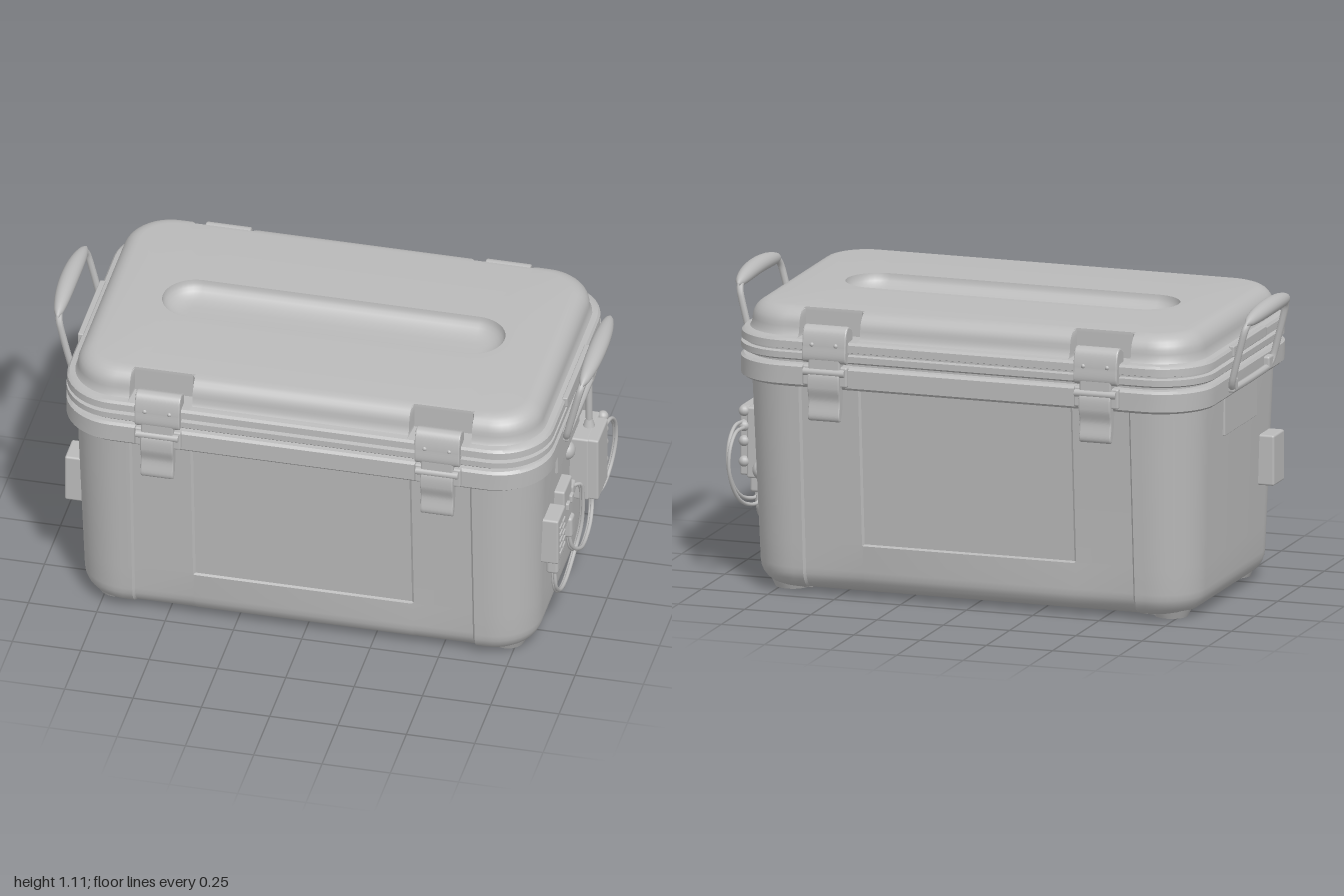
import * as THREE from 'three';
import { toCreasedNormals } from 'three/addons/utils/BufferGeometryUtils.js';
import { RoundedBoxGeometry } from 'three/addons/geometries/RoundedBoxGeometry.js';

const grey = new THREE.MeshStandardMaterial({ color: 0xbababa });
grey.name = 'warm grey plastic';

const V = (x, y, z) => new THREE.Vector3(x, y, z);

function add(parent, name, geometry, x = 0, y = 0, z = 0) {
  const mesh = new THREE.Mesh(geometry, grey);
  mesh.name = name;
  mesh.position.set(x, y, z);
  parent.add(mesh);
  return mesh;
}

function block(parent, name, w, h, d, x, y, z, r = 0.008) {
  return add(parent, name, new RoundedBoxGeometry(w, h, d, 2, Math.min(r, w / 2.1, h / 2.1, d / 2.1)), x, y, z);
}

function tube(parent, name, points, radius, closed = false, segments = 48) {
  const curve = new THREE.CatmullRomCurve3(points, closed);
  return add(parent, name, new THREE.TubeGeometry(curve, segments, radius, 8, closed));
}

// Panel steps on the long walls and latch pockets in the lid
function carve(x, y, z) {
  const a = Math.abs(x), s = Math.sign(z);
  if (y < 0.78) z -= s * (a < 0.4 ? (y > 0.2 ? 0.016 : 0.008) : a < 0.622 ? 0.01 : 0);
  if (y > 0.958 && a > 0.4 && a < 0.622) z = s * Math.min(Math.abs(z), 0.465);
  return V(x, y, z);
}

// Rounded rectangle with extra points on the long sides for the steps
const STEPS = [0.626, 0.618, 0.404, 0.396, -0.396, -0.404, -0.618, -0.626];
function ring([hx, hz, r, y]) {
  const pts = [], n = 10;
  [[1, 1], [-1, 1], [-1, -1], [1, -1]].forEach(([sx, sz], q) => {
    for (let i = 0; i <= n; i++) {
      const t = (q + i / n) * Math.PI / 2;
      pts.push(carve(sx * (hx - r) + r * Math.cos(t), y, sz * (hz - r) + r * Math.sin(t)));
    }
    if (q % 2 === 0) {
      for (const s of STEPS) {
        const x = THREE.MathUtils.clamp(s * sz, r - hx, hx - r);
        pts.push(carve(x, y, sz * hz));
      }
    }
  });
  return pts;
}

// Skin through rings, closing the last one onto its centre line
function loft(profile) {
  const rings = profile.map(ring);
  rings.push(rings[rings.length - 1].map(p => V(p.x, p.y, 0)));
  const m = rings[0].length, pos = [], index = [];
  rings.forEach(r => r.forEach(p => pos.push(p.x, p.y, p.z)));
  for (let j = 0; j < rings.length - 1; j++) {
    for (let i = 0; i < m; i++) {
      const k = (i + 1) % m, a = j * m + i, b = j * m + k;
      index.push(a, a + m, b, b, a + m, b + m);
    }
  }
  const g = new THREE.BufferGeometry();
  g.setAttribute('position', new THREE.Float32BufferAttribute(pos, 3));
  g.setIndex(index);
  return toCreasedNormals(g, 0.6);
}

// Profile in (z, y) extruded along x
function slab(points, width) {
  const shape = new THREE.Shape();
  shape.moveTo(...points[0]);
  shape.splineThru(points.slice(1).map(p => new THREE.Vector2(...p)));
  shape.closePath();
  const b = 0.005;
  const g = new THREE.ExtrudeGeometry(shape, { depth: width - 2 * b, bevelSize: b, bevelThickness: b, bevelSegments: 2, curveSegments: 20 });
  return g.rotateY(-Math.PI / 2).translate(width / 2 - b, 0, 0);
}

function buildShell(parent) {
  const profile = [];
  for (let i = 0; i <= 6; i++) {
    const t = i / 6 * Math.PI / 2, s = Math.sin(t);
    profile.push([0.755 + 0.08 * s, 0.39 + 0.085 * s, 0.1 + 0.07 * s, 0.1 - 0.085 * Math.cos(t)]);
  }
  for (const y of [0.197, 0.203, 0.4, 0.6, 0.775]) {
    const t = (y - 0.1) / 0.68;
    profile.push([0.835 + 0.02 * t, 0.475 + 0.05 * t, 0.17 + 0.02 * t, y]);
  }
  // Rim, seam and lid bands
  profile.push(
    [0.88, 0.547, 0.2, 0.781], [0.889, 0.556, 0.2, 0.79], [0.89, 0.557, 0.2, 0.855], [0.882, 0.549, 0.2, 0.864],
    [0.862, 0.529, 0.19, 0.866], [0.862, 0.529, 0.19, 0.876], [0.882, 0.549, 0.2, 0.878], [0.889, 0.556, 0.2, 0.884],
    [0.889, 0.556, 0.2, 0.906], [0.874, 0.541, 0.19, 0.91], [0.874, 0.541, 0.19, 0.916], [0.888, 0.555, 0.2, 0.92],
    [0.887, 0.554, 0.2, 0.946], [0.88, 0.547, 0.2, 0.955], [0.86, 0.526, 0.18, 0.959], [0.853, 0.519, 0.17, 0.97]);
  // Rounded lid edge
  for (let i = 0; i <= 7; i++) {
    const t = i / 7 * Math.PI / 2, c = 0.065 * Math.cos(t);
    profile.push([0.785 + c, 0.45 + c, 0.12 + c * 0.7, 0.99 + 0.067 * Math.sin(t)]);
  }
  // Scooped recess in the lid
  for (let i = 0; i <= 7; i++) {
    const t = i / 7 * Math.PI / 2, h = 0.035 + 0.085 * Math.cos(t);
    profile.push([0.505 + h, h, h, 1.057 - 0.06 * Math.sin(t)]);
  }
  add(parent, 'coolerShell', loft(profile));

  // Underside with four drain holes
  const base = new THREE.Shape(ring(profile[0]).map(p => new THREE.Vector2(p.x, p.z)));
  for (const sx of [-1, 1]) for (const sz of [-1, 1]) {
    base.holes.push(new THREE.Path().absarc(sx * 0.54, sz * 0.22, 0.05, 0, Math.PI * 2));
    const foot = add(parent, 'foot', new THREE.CylinderGeometry(0.075, 0.06, 0.03, 24), sx * 0.715, 0.015, sz * 0.335);
    foot.scale.z = 0.95;
  }
  add(parent, 'underside', new THREE.ShapeGeometry(base, 24).rotateX(Math.PI / 2), 0, 0.015, 0);
  for (const sx of [-1, 1]) block(parent, 'bottomRunner', 0.13, 0.008, 0.76, sx * 0.688, 0.012, 0, 0.003);
}

function buildLatch() {
  const latch = new THREE.Group();
  latch.name = 'latch';
  const upper = [[0.5, 0.885], [0.568, 0.885], [0.573, 0.94], [0.563, 0.99], [0.54, 1.006], [0.505, 0.99]];
  const lever = [[0.545, 0.845], [0.577, 0.84], [0.582, 0.79], [0.57, 0.74], [0.577, 0.685], [0.566, 0.672], [0.55, 0.7], [0.54, 0.77]];
  add(latch, 'latchPlate', slab(upper, 0.165));
  add(latch, 'latchLever', slab(lever, 0.12));
  block(latch, 'latchKeeper', 0.17, 0.075, 0.05, 0, 0.83, 0.545);
  block(latch, 'latchLink', 0.12, 0.07, 0.05, 0, 0.868, 0.553);
  const pin = new THREE.CylinderGeometry(0.014, 0.014, 0.155, 16).rotateZ(Math.PI / 2);
  add(latch, 'latchPin', pin, 0, 0.845, 0.572);
  for (const x of [-0.045, 0.045]) add(latch, 'rivet', new THREE.SphereGeometry(0.009, 10, 8), x, 0.945, 0.574);
  return latch;
}

// Everything common to both ends, built on +x
function buildEnd() {
  const end = new THREE.Group();
  const at = (y, z) => V(0.897 + (y - 0.81) * 0.25, y, z);
  const loop = [];
  [[1, 1], [-1, 1], [-1, -1], [1, -1]].forEach(([sz, sy], q) => {
    for (let i = 0; i <= 4; i++) {
      const t = (q + i / 4) * Math.PI / 2;
      loop.push(at(0.935 + sy * 0.08 + 0.045 * Math.sin(t), sz * 0.178 + 0.045 * Math.cos(t)));
    }
  });
  tube(end, 'handleFrame', loop, 0.013, true, 96);
  const profile = [];
  for (let i = 0; i <= 16; i++) {
    const u = i / 8 - 1;
    profile.push(new THREE.Vector2(0.008 + 0.025 * Math.sqrt(Math.max(0, 1 - u ** 4)), u * 0.225));
  }
  // Grip bowed up and outward at the middle
  const grip = new THREE.LatheGeometry(profile, 20).rotateX(Math.PI / 2);
  const p = grip.attributes.position;
  for (let i = 0; i < p.count; i++) {
    const bow = 1 - (p.getZ(i) / 0.225) ** 2;
    p.setXYZ(i, p.getX(i) * (0.6 + 0.4 * bow) + 0.008 * bow, p.getY(i) * (0.7 + 0.2 * bow) + 0.018 * bow, p.getZ(i));
  }
  grip.computeVertexNormals();
  add(end, 'handleGrip', grip, 0.959, 1.058, 0);
  for (const s of [-1, 1]) block(end, 'handleBracket', 0.04, 0.05, 0.05, 0.89, 0.825, s * 0.19);
  block(end, 'lidBadgeBar', 0.02, 0.038, 0.35, 0.886, 0.942, 0, 0.004);
  block(end, 'sidePanel', 0.02, 0.15, 0.345, 0.85, 0.705, 0.003, 0.003);
  block(end, 'controlBox', 0.07, 0.185, 0.115, 0.868, 0.453, 0.292);
  return end;
}

function buildElectrics(parent) {
  const g = new THREE.Group();
  g.name = 'electrics';
  parent.add(g);
  // Ridged control box face and plug
  for (let i = 0; i < 5; i++) for (const z of [0.27, 0.312]) block(g, 'ridge', 0.008, 0.012, 0.034, 0.904, 0.395 + i * 0.027, z, 0.003);
  block(g, 'plug', 0.045, 0.065, 0.05, 0.875, 0.335, 0.305, 0.012);
  // Socket plate
  block(g, 'socketPlate', 0.05, 0.165, 0.12, 0.86, 0.47, 0.115);
  for (const z of [0.14, 0.085]) block(g, 'socket', 0.016, 0.03, 0.03, 0.888, 0.475, z, 0.005);
  block(g, 'plug', 0.045, 0.085, 0.05, 0.875, 0.355, 0.085, 0.012);
  block(g, 'cableGland', 0.04, 0.05, 0.055, 0.87, 0.48, 0.035, 0.012);
  // Regulator box with terminals and mast
  block(g, 'regulatorBack', 0.08, 0.26, 0.19, 0.875, 0.49, -0.165);
  block(g, 'regulatorCover', 0.05, 0.255, 0.155, 0.925, 0.49, -0.153);
  for (const y of [0.605, 0.55, 0.495, 0.42]) add(g, 'terminal', new THREE.SphereGeometry(0.02, 14, 10), 0.925, y, -0.255);
  block(g, 'plug', 0.045, 0.065, 0.05, 0.89, 0.335, -0.21, 0.012);
  add(g, 'mast', new THREE.CylinderGeometry(0.012, 0.012, 0.18, 12), 0.895, 0.715, -0.165);
  add(g, 'mastBase', new THREE.CylinderGeometry(0.013, 0.022, 0.03, 12), 0.895, 0.633, -0.165);
  for (const [y, z, r] of [[0.592, -0.035, 0.034], [0.405, -0.302, 0.034], [0.49, -0.3, 0.022], [0.375, -0.055, 0.02]]) {
    const knob = add(g, 'knob', new THREE.SphereGeometry(r, 18, 12), 0.848, y, z);
    knob.scale.x = 0.8;
  }
  // Paired cables, listed as (x, y, z)
  const cables = [
    [[0.875, 0.31, 0.305], [0.88, 0.23, 0.3], [0.88, 0.175, 0.24], [0.88, 0.157, 0.15], [0.885, 0.2, 0.04], [0.9, 0.29, -0.01], [0.905, 0.4, -0.015], [0.9, 0.475, 0], [0.87, 0.485, 0.04]],
    [[0.875, 0.32, 0.085], [0.885, 0.25, 0.07], [0.9, 0.205, 0.01], [0.9, 0.185, -0.07], [0.9, 0.21, -0.15], [0.895, 0.26, -0.2], [0.89, 0.33, -0.205]],
    [[0.925, 0.555, -0.25], [0.935, 0.55, -0.32], [0.94, 0.5, -0.37], [0.94, 0.42, -0.38], [0.93, 0.33, -0.34], [0.915, 0.28, -0.27], [0.89, 0.275, -0.21], [0.89, 0.32, -0.2]]];
  for (const path of cables) for (const d of [-0.009, 0.009]) {
    tube(g, 'cable', path.map(([x, y, z]) => V(x + d * 0.6, y + d, z + d)), 0.007);
  }
}

export function createModel() {
  const model = new THREE.Group();
  model.name = 'coolBox';
  buildShell(model);
  for (const x of [-0.512, 0.512]) for (const back of [0, 1]) {
    const latch = buildLatch();
    latch.position.x = x;
    latch.rotation.y = back * Math.PI;
    model.add(latch);
  }
  const right = buildEnd();
  right.name = 'cableEnd';
  const left = buildEnd();
  left.name = 'plainEnd';
  left.rotation.y = Math.PI;
  // Keep the control box toward the front on the far end
  left.children.forEach(m => { m.position.z *= -1; });
  model.add(right, left);
  buildElectrics(model);
  return model;
}
